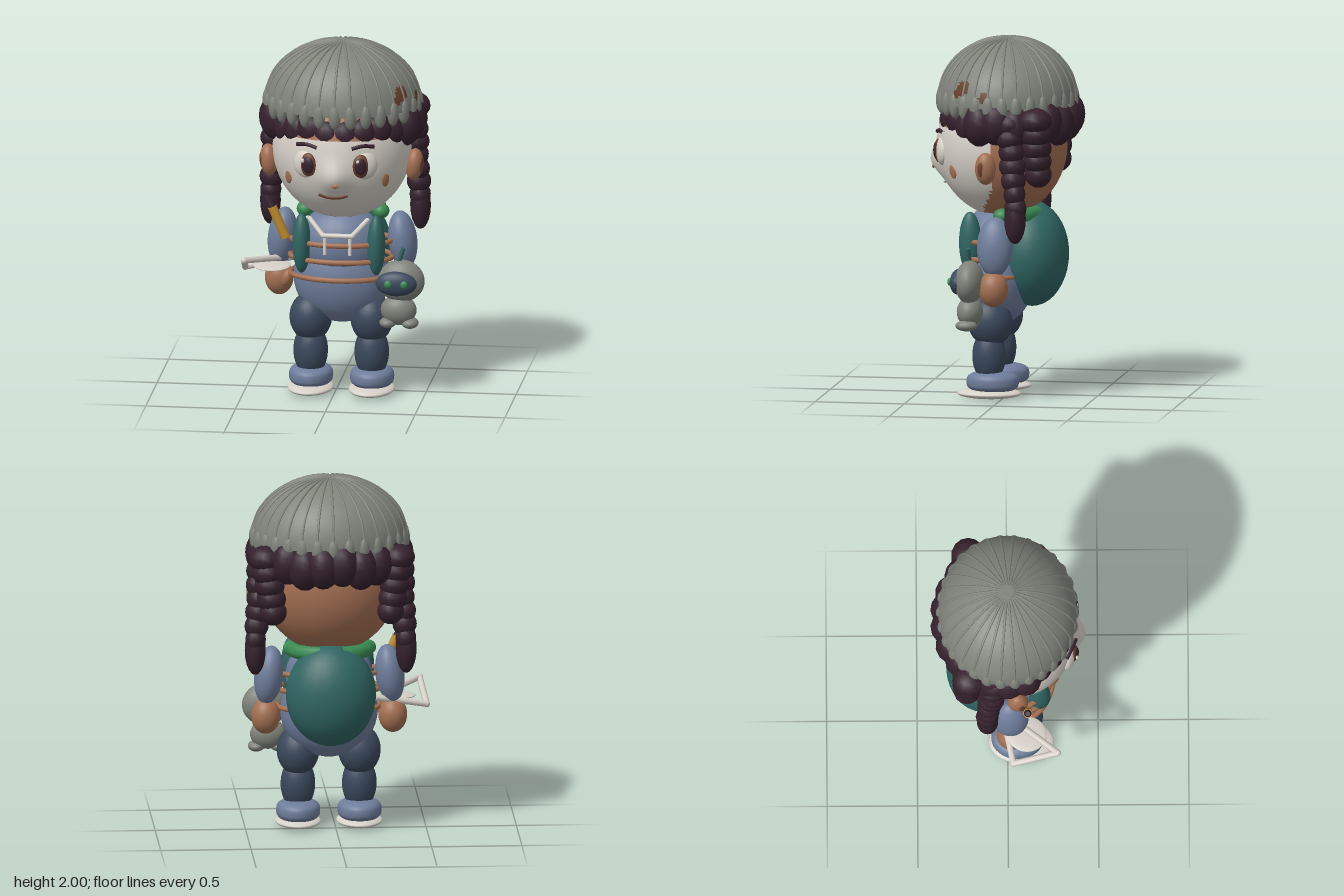
import * as THREE from 'three';
import { mergeVertices } from 'three/addons/utils/BufferGeometryUtils.js';

const CX = 0.035; // body midline
const mat = (name, color) => {
  const m = new THREE.MeshStandardMaterial({ color });
  m.name = name;
  return m;
};

export function createModel() {
  const root = new THREE.Group();
  root.name = 'explorerChild';
  const grey = mat('capGrey', 0x7f837a), hair = mat('hairPlum', 0x35212d), cream = mat('cream', 0xd6d0c8);
  const skin = mat('skinBrown', 0xa36f52), blue = mat('clothBlue', 0x6e7d9b), navy = mat('trouserNavy', 0x3a485c);
  const teal = mat('packTeal', 0x2f6562), green = mat('scarfGreen', 0x3a8a52), ochre = mat('pencilOchre', 0xc08c2c);
  const dark = mat('darkBrown', 0x6a3f2c);

  const add = (name, geo, material, parent = root) => {
    const m = new THREE.Mesh(geo, material);
    m.name = name;
    parent.add(m);
    return m;
  };
  const sphere = new THREE.SphereGeometry(1, 28, 20);
  const smallSphere = new THREE.SphereGeometry(1, 14, 10);
  // Cushion: a sphere with fuller, squarer sides
  const cushion = new THREE.SphereGeometry(1, 32, 20);
  const cp = cushion.attributes.position;
  for (let i = 0; i < cp.count; i++) {
    const y = cp.getY(i), r = Math.hypot(cp.getX(i), cp.getZ(i)), k = r > 1e-6 ? r ** -0.35 : 0;
    cp.setXYZ(i, cp.getX(i) * k, Math.sign(y) * Math.abs(y) ** 0.7, cp.getZ(i) * k);
  }
  cushion.computeVertexNormals();

  const ball = (name, material, p, r, rot = [0, 0, 0], geo = sphere, parent = root) => {
    const m = add(name, geo, material, parent);
    m.position.set(...p);
    m.scale.set(...r);
    m.rotation.set(...rot);
    return m;
  };
  const tube = (name, material, pts, r, { closed = false, seg = 24 } = {}) =>
    add(name, new THREE.TubeGeometry(
      new THREE.CatmullRomCurve3(pts.map(p => new THREE.Vector3(...p)), closed), seg, r, 8, closed), material);
  const rod = (name, material, a, b, r, r2 = r, parent = root) => {
    const A = new THREE.Vector3(...a), B = new THREE.Vector3(...b), d = B.clone().sub(A);
    const m = add(name, new THREE.CylinderGeometry(r2, r, d.length(), 10), material, parent);
    m.position.copy(A).add(B).multiplyScalar(0.5);
    m.quaternion.setFromUnitVectors(new THREE.Vector3(0, 1, 0), d.normalize());
    return m;
  };
  // Sort the triangles of a geometry into two colour groups by their centre
  const twoTone = (geo, test) => {
    const p = geo.attributes.position, lists = [[], []], c = new THREE.Vector3(), v = new THREE.Vector3();
    for (let i = 0; i < geo.index.count; i += 3) {
      const t = [0, 1, 2].map(k => geo.index.getX(i + k));
      c.set(0, 0, 0);
      t.forEach(k => c.add(v.fromBufferAttribute(p, k)));
      lists[test(c.divideScalar(3)) ? 1 : 0].push(...t);
    }
    geo.setIndex([...lists[0], ...lists[1]]);
    geo.clearGroups();
    geo.addGroup(0, lists[0].length, 0);
    geo.addGroup(lists[0].length, lists[1].length, 1);
    return geo;
  };

  // Head: ellipsoid with a pointed nose, pale face in front
  const nose = (x, y) => 0.052 * Math.exp(-((x - CX) ** 2) / 0.006 - ((y - 1.3) ** 2) / 0.008);
  const faceZ = (x, y) => 0.03 + 0.36 * Math.sqrt(Math.max(0, 1 - ((x - CX) / 0.385) ** 2 - ((y - 1.4) / 0.4) ** 2)) + nose(x, y);
  let head = new THREE.SphereGeometry(1, 72, 54);
  head.scale(0.385, 0.4, 0.36).translate(CX, 1.4, 0.03);
  head.deleteAttribute('uv');
  head.deleteAttribute('normal');
  head = mergeVertices(head);
  const hp = head.attributes.position;
  for (let i = 0; i < hp.count; i++)
    if (hp.getZ(i) > 0.03) hp.setZ(i, hp.getZ(i) + nose(hp.getX(i), hp.getY(i)));
  head.computeVertexNormals();
  add('head', twoTone(head, c => c.z > 0.03 + Math.max(0, 1.2 - c.y) * 0.5 && c.y > 1.03 && c.y < 1.52), [skin, cream]);

  // Face features
  for (const s of [-1, 1]) {
    const x = CX + s * 0.155, side = s < 0 ? 'right' : 'left', tilt = [0, s * 0.25, 0];
    ball(side + 'EyeWhite', cream, [x + s * 0.005, 1.375, 0.335], [0.075, 0.082, 0.04], tilt);
    ball(side + 'Iris', dark, [x - s * 0.008, 1.375, 0.362], [0.05, 0.066, 0.024], tilt);
    ball(side + 'Pupil', hair, [x - s * 0.008, 1.375, 0.376], [0.035, 0.048, 0.016], tilt);
    ball(side + 'EyeGlint', cream, [x - 0.022, 1.402, 0.384], [0.011, 0.013, 0.008], tilt, smallSphere);
    ball(side + 'Cheek', skin, [CX + s * 0.27, 1.275, faceZ(CX + s * 0.27, 1.275)], [0.026, 0.04, 0.01], [0.2, s * 0.85, 0]);
    ball(side + 'Ear', skin, [CX + s * 0.405, 1.315, 0.055], [0.05, 0.09, 0.058], [0, 0, -s * 0.1]);
    ball(side + 'EarHollow', dark, [CX + s * 0.442, 1.315, 0.072], [0.013, 0.045, 0.022], [0, 0, -s * 0.1]);
    tube(side + 'Eyebrow', hair, [[-0.06, 1.475], [0, 1.488], [0.06, 1.48]].map(([u, y]) =>
      [x + s * u, y, faceZ(x + s * u, y) + 0.005]), 0.011);
  }
  tube('mouth', dark, [-0.08, -0.04, 0, 0.04, 0.08].map((u, i) => {
    const x = CX - 0.01 + u, y = 1.188 + [0.012, 0, -0.003, 0, 0.012][i];
    return [x, y, faceZ(x, y)];
  }), 0.01);
  ball('noseTip', skin, [CX + 0.008, 1.268, faceZ(CX + 0.008, 1.268)], [0.02, 0.012, 0.008]);

  // Ribbed cap with worn patches and a beaded brim
  const dome = new THREE.SphereGeometry(1, 112, 36, 0, Math.PI * 2, 0, Math.PI / 2);
  dome.scale(0.433, 0.345, 0.384).translate(CX, 1.65, 0);
  const patches = [[0.385, 1.75, 0.19, 0.045], [0.36, 1.72, 0.22, 0.03], [0.45, 1.71, 0.06, 0.032]];
  add('capDome', twoTone(dome, c => patches.some(([x, y, z, r]) => Math.hypot(c.x - x, c.y - y, c.z - z) < r)), [grey, dark]);
  const RIBS = 30;
  for (let i = 0; i < RIBS; i++) {
    const a = i / RIBS * Math.PI * 2, sx = Math.sin(a), cz = Math.cos(a);
    tube('capRib', grey, [0.08, 0.4, 0.75, 1.1, 1.45].map(t =>
      [CX + 0.435 * Math.sin(t) * sx, 1.65 + 0.347 * Math.cos(t), 0.386 * Math.sin(t) * cz]), 0.007, { seg: 14 });
    ball('capBrimBead', grey, [CX + 0.418 * sx, 1.65, 0.368 * cz], [0.034, 0.07, 0.028], [0, a, 0], smallSphere);
  }
  const button = add('capButton', new THREE.CylinderGeometry(0.036, 0.04, 0.012, 20), grey);
  button.position.set(CX, 1.994, 0);

  // Curly hair ring: flatter curls in front, big ones behind
  const CURLS = 22;
  for (let i = 0; i < CURLS; i++) {
    const a = (i + 0.5) / CURLS * Math.PI * 2, front = Math.cos(a) > 0.3, wob = (i % 3 - 1) * 0.012;
    const rx = front ? 0.35 : 0.37, rz = front ? 0.312 : 0.332;
    ball(front ? 'fringeCurl' : 'hairCurl', hair,
      [CX + rx * Math.sin(a), (front ? 1.545 : 1.555) + wob, rz * Math.cos(a)],
      front ? [0.085, 0.088, 0.066] : [0.095, 0.125, 0.098], [0, a, 0], smallSphere);
  }

  // Braids: a long one and a short one behind it on each side
  for (const s of [-1, 1]) {
    const g = new THREE.Group();
    g.name = s < 0 ? 'rightBraids' : 'leftBraids';
    root.add(g);
    for (let i = 0; i < 7; i++) {
      const t = i / 6, r = 0.088 - 0.024 * t;
      ball('braidKnot', hair, [CX + s * (0.38 + 0.036 * t), 1.56 - 0.46 * t, -0.075 - 0.04 * t],
        [r * 0.9, 0.07, r], [0, i, 0], smallSphere, g);
    }
    ball('braidTip', hair, [CX + s * 0.418, 1.04, -0.113], [0.058, 0.14, 0.06], [0, 0, 0], smallSphere, g);
    for (let i = 0; i < 5; i++)
      ball('shortBraidKnot', hair, [CX + s * (0.365 - 0.01 * i), 1.58 - 0.075 * i, -0.215 - 0.003 * i],
        [0.096 - 0.005 * i, 0.075, 0.094 - 0.005 * i], [0, i, 0], smallSphere, g);
  }

  // Torso
  ball('belly', blue, [CX, 0.66, 0.04], [0.27, 0.26, 0.19]);
  ball('chest', blue, [CX, 0.86, 0.06], [0.24, 0.21, 0.18]);

  // Scarf around the back of the neck, with rounded ends
  const scarfPoint = a => [CX + 0.212 * Math.sin(a), 1.025, -0.01 - 0.17 * Math.cos(a)];
  tube('scarf', green, [-1.6, -1.1, -0.55, 0, 0.55, 1.1, 1.6].map(scarfPoint), 0.042, { seg: 36 });
  for (const a of [-1.6, 1.6]) ball('scarfEnd', green, scarfPoint(a), [0.046, 0.042, 0.05]);

  // Backpack with shoulder straps
  ball('backpack', teal, [CX, 0.79, -0.14], [0.25, 0.29, 0.2]);
  for (const s of [-1, 1])
    ball('packStrap', teal, [CX + s * 0.208, 0.875, 0.175], [0.05, 0.17, 0.062]);

  // Ropes around the body
  for (const [y, rx, rz] of [[0.88, 0.28, 0.175], [0.785, 0.285, 0.18], [0.685, 0.285, 0.19]]) {
    const pts = [];
    for (let i = 0; i < 16; i++) {
      const a = i / 16 * Math.PI * 2;
      pts.push([CX + rx * Math.cos(a), y, 0.065 + rz * Math.sin(a)]);
    }
    tube('bodyRope', skin, pts, 0.015, { closed: true, seg: 48 });
  }

  // Hood cord
  const cord = [[-0.125, 1.02, 0.19], [-0.045, 0.938, 0.242], [0.115, 0.938, 0.242], [0.195, 1.02, 0.19]];
  cord.forEach((p, i) => {
    ball('cordBend', cream, p, [0.014, 0.014, 0.014], [0, 0, 0], smallSphere);
    if (i) rod('neckCord', cream, cord[i - 1], p, 0.014);
  });
  for (const s of [-1, 1])
    rod('cordEnd', cream, [CX + s * 0.07, 0.94, 0.24], [CX + s * 0.07, 0.83, 0.245], 0.01);

  // Arms, legs and shoes
  for (const s of [-1, 1]) {
    const side = s < 0 ? 'right' : 'left', lx = CX + s * 0.17;
    ball(side + 'Sleeve', blue, [CX + s * 0.335, 0.87, 0.015], [0.08, 0.165, 0.1], [0, 0, s * 0.12]);
    ball(side + 'Hand', skin, [CX + s * 0.352, 0.637, 0.02], [0.08, 0.1, 0.082]);
    ball(side + 'Thumb', skin, [CX + s * 0.3, 0.65, 0.085], [0.03, 0.05, 0.032], [0, 0, s * 0.3]);
    ball(side + 'Thigh', navy, [lx, 0.43, 0.07], [0.118, 0.14, 0.125], [0.2, 0, 0]);
    ball(side + 'Shin', navy, [lx, 0.24, 0.075], [0.096, 0.15, 0.093]);
    ball(side + 'Shoe', blue, [lx, 0.095, 0.055], [0.122, 0.058, 0.146], [0, 0, 0], cushion);
    ball(side + 'Sole', cream, [lx, 0.03, 0.075], [0.128, 0.03, 0.18]);
  }

  // Toy robot hanging at the left hip
  const robot = new THREE.Group();
  robot.name = 'toyRobot';
  root.add(robot);
  const part = (name, m, p, r) => ball(name, m, p, r, [0, 0, 0], sphere, robot);
  part('robotHead', grey, [0.38, 0.672, 0.155], [0.13, 0.12, 0.08]);
  part('robotFacePlate', navy, [0.36, 0.67, 0.22], [0.115, 0.07, 0.045]);
  part('robotBody', grey, [0.365, 0.505, 0.155], [0.1, 0.085, 0.072]);
  for (const s of [-1, 1]) {
    part('robotEye', green, [0.363 + s * 0.045, 0.675, 0.26], [0.021, 0.022, 0.014]);
    part('robotFoot', grey, [0.368 + s * 0.062, 0.435, 0.165], [0.047, 0.031, 0.06]);
  }
  rod('robotAntenna', teal, [0.365, 0.78, 0.16], [0.393, 0.86, 0.16], 0.015, 0.012, robot);

  // Hand tool: triangular frame with a flat plate
  const grip = [-0.22, 0.745, -0.03], low = [-0.505, 0.69, 0.03], high = [-0.48, 0.79, 0.275];
  for (const [a, b] of [[grip, low], [low, high], [high, grip]]) rod('toolFrameBar', cream, a, b, 0.018);
  for (const p of [low, high]) ball('toolCorner', cream, p, [0.019, 0.019, 0.019], [0, 0, 0], smallSphere);
  ball('toolPlate', cream, [-0.345, 0.725, 0.105], [0.105, 0.014, 0.11], [0.05, 0, 0]);

  // Pencil tucked by the right arm
  rod('pencil', ochre, [-0.27, 0.885, 0.11], [-0.345, 1.06, 0.11], 0.026);
  rod('pencilTip', hair, [-0.345, 1.06, 0.11], [-0.36, 1.095, 0.11], 0.022, 0.014);

  return root;
}
